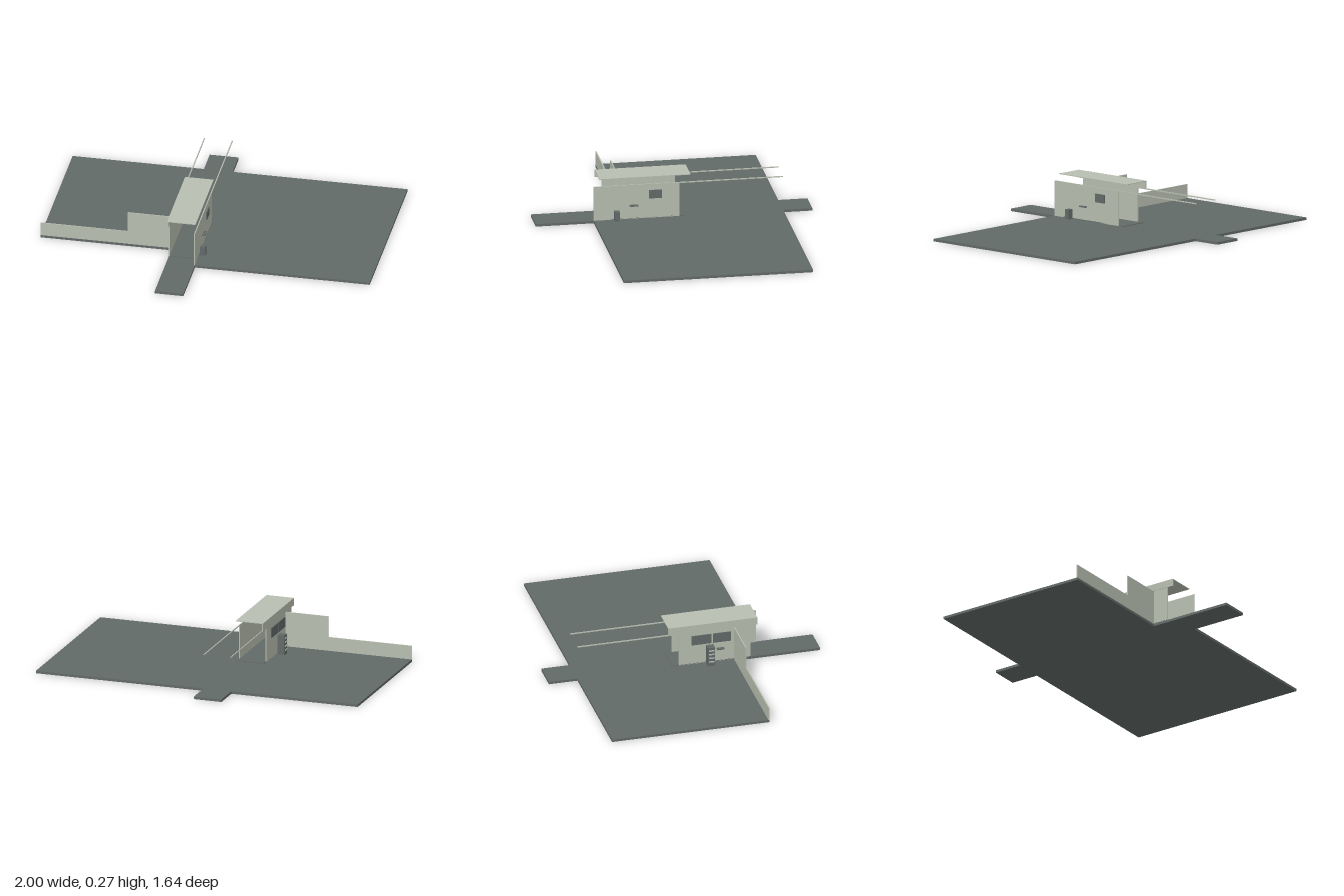
import * as THREE from 'three';

export function createModel() {
  const model = new THREE.Group();
  const paving = new THREE.MeshStandardMaterial({ color: 0x626a68 });
  paving.name = 'dark grey';
  const plaster = new THREE.MeshStandardMaterial({ color: 0xb8beb0 });
  plaster.name = 'pale grey green';

  // Box from its minimum and maximum on each axis
  function box(name, mat, [x0, x1], [y0, y1], [z0, z1]) {
    const mesh = new THREE.Mesh(new THREE.BoxGeometry(x1 - x0, y1 - y0, z1 - z0), mat);
    mesh.position.set((x0 + x1) / 2, (y0 + y1) / 2, (z0 + z1) / 2);
    mesh.name = name;
    model.add(mesh);
    return mesh;
  }

  const L = -0.215, R = -0.043; // the two sides of the passage
  const G = 0.015;              // ground level
  const T = 0.006;              // wall thickness

  // Ground slab with a path running out at both ends
  const outline = [
    [-1, -0.65], [L, -0.65], [L, -0.823], [R, -0.823], [R, -0.65], [1, -0.65],
    [1, 0.475], [R, 0.475], [R, 0.82], [L, 0.82], [L, 0.303], [-1, 0.303],
  ];
  const shape = new THREE.Shape(outline.map(([x, z]) => new THREE.Vector2(x, -z)));
  const slabGeometry = new THREE.ExtrudeGeometry(shape, { depth: G, bevelEnabled: false });
  slabGeometry.rotateX(-Math.PI / 2);
  const slab = new THREE.Mesh(slabGeometry, paving);
  slab.name = 'groundSlab';
  model.add(slab);

  // Passage walls, floor and roof
  box('rightWall', plaster, [R - T, R], [G, 0.225], [-0.035, 0.475]);
  box('leftWall', plaster, [L, L + T], [G, 0.225], [-0.035, 0.4]);
  box('passageFloor', paving, [L, R], [G, 0.019], [-0.075, 0.4]);
  box('roof', plaster, [L + 0.006, R - 0.004], [0.266, 0.27], [-0.1, 0.44]);
  box('roofFascia', plaster, [L - 0.002, L + 0.006], [0.225, 0.27], [-0.1, 0.44]);
  box('fasciaWindow', paving, [L + 0.006, L + 0.009], [0.236, 0.262], [0.235, 0.265]);

  // Boundary wall, tall beside the passage and low further out
  box('tallBoundaryWall', plaster, [-0.48, L], [G, 0.225], [0.297, 0.303]);
  box('lowBoundaryWall', plaster, [-1, -0.48], [G, 0.098], [0.297, 0.303]);

  // Rails running back from the wall tops
  for (const x of [L, R - T]) {
    box('rail', plaster, [x, x + T], [0.219, 0.225], [-0.65, -0.035]);
  }

  // Fittings on the right wall
  box('rightWindow', paving, [R, R + 0.006], [0.136, 0.187], [0.072, 0.147]);
  box('rightShelf', paving, [R, R + 0.018], [0.095, 0.102], [0.213, 0.263]);
  box('rightBin', paving, [R + 0.006, -0.005], [G, 0.073], [0.325, 0.355]);

  // Windows and counter on the left wall
  for (const [z0, z1] of [[0.04, 0.16], [0.17, 0.28]]) {
    box('leftWindow', paving, [L - 0.005, L], [0.14, 0.2], [z0, z1]);
  }
  box('leftShelf', paving, [L - 0.02, L], [0.095, 0.102], [0.193, 0.237]);

  // Cabinet with rows of pale shelves
  box('cabinet', paving, [-0.27, -0.226], [G, 0.135], [0.127, 0.17]);
  for (let i = 0; i < 4; i++) {
    const y = 0.04 + i * 0.024;
    box('cabinetShelf', plaster, [-0.273, -0.27], [y, y + 0.008], [0.131, 0.166]);
  }
  return model;
}
